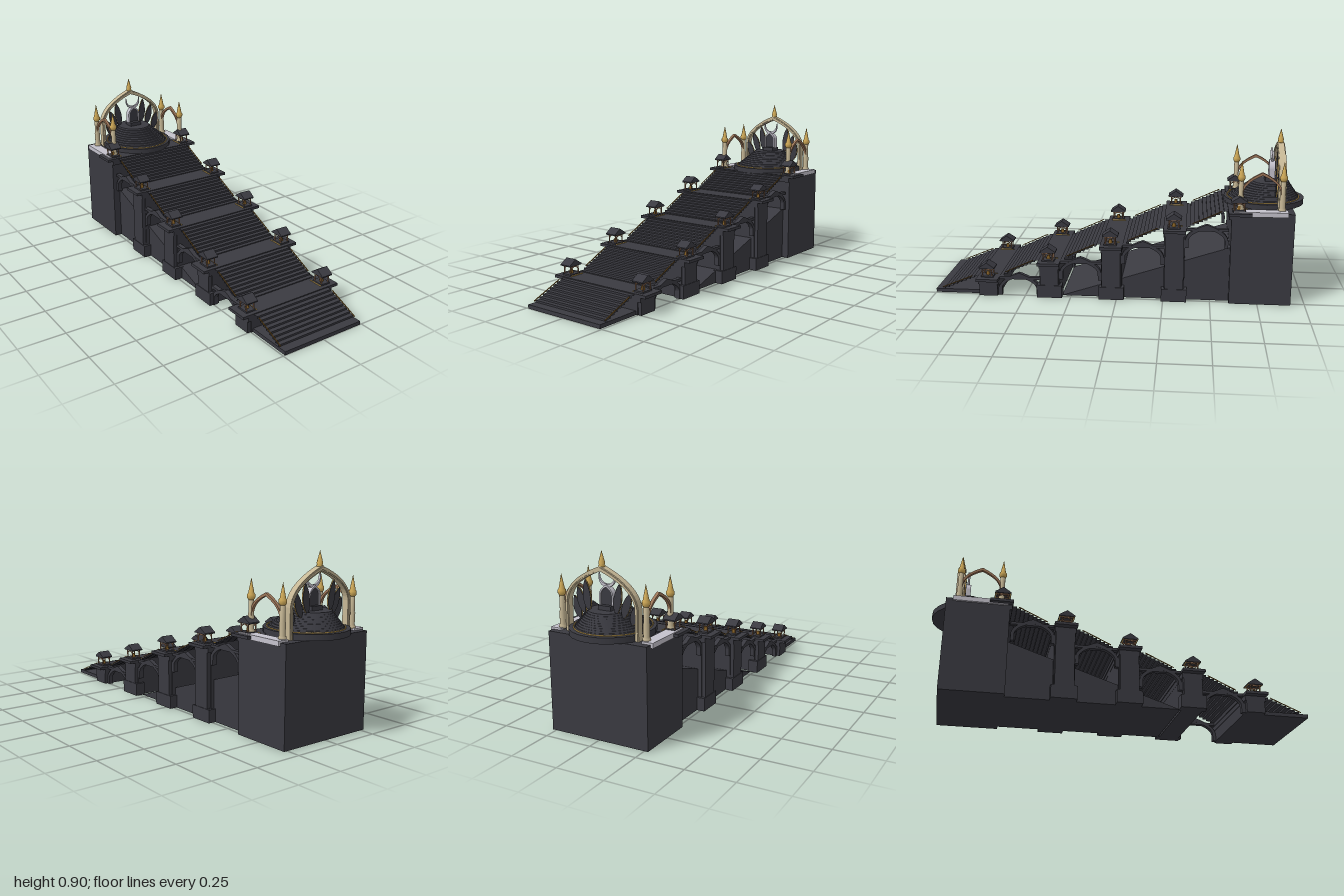
import * as THREE from 'three';

const mat = (name, color, side = THREE.FrontSide) => {
  const m = new THREE.MeshStandardMaterial({ color, side });
  m.name = name;
  return m;
};

export function createModel() {
  const root = new THREE.Group();
  root.name = 'terracedStairShrine';
  const stone = mat('charcoal stone', 0x3a3a41);
  const tread = mat('charcoal steps', 0x3a3a41, THREE.DoubleSide);
  const gold = mat('gold', 0xd0aa58);
  const ivory = mat('ivory', 0xc6b795);
  const copper = mat('copper', 0x9c7558);
  const bronze = mat('bronze', 0x8a6428);
  const silver = mat('silver', 0xc4c2cc);

  const add = (name, geo, m, x = 0, y = 0, z = 0, parent = root) => {
    const mesh = new THREE.Mesh(geo, m);
    mesh.name = name;
    mesh.position.set(x, y, z);
    parent.add(mesh);
    return mesh;
  };
  // Box given by its ranges
  const block = (name, m, x0, x1, y0, y1, z0, z1, parent = root) =>
    add(name, new THREE.BoxGeometry(x1 - x0, y1 - y0, z1 - z0), m,
      (x0 + x1) / 2, (y0 + y1) / 2, (z0 + z1) / 2, parent);
  const slab = (shape, depth) => {
    const g = new THREE.ExtrudeGeometry(shape, { depth, bevelEnabled: false, curveSegments: 10 });
    return g.translate(0, 0, -depth / 2);
  };
  // Pointed arch band standing on two legs
  const archGeo = (hw, foot, spring, peak, t, depth) => {
    const s = new THREE.Shape();
    const cy = spring + (peak - spring) * 0.58;
    const ip = peak - t * 1.3, iw = hw - t, icy = cy - t * 0.6;
    s.moveTo(-hw, foot);
    s.lineTo(-hw, spring);
    s.quadraticCurveTo(-hw * 0.95, cy, 0, peak);
    s.quadraticCurveTo(hw * 0.95, cy, hw, spring);
    s.lineTo(hw, foot);
    s.lineTo(iw, foot);
    s.lineTo(iw, spring);
    s.quadraticCurveTo(iw * 0.95, icy, 0, ip);
    s.quadraticCurveTo(-iw * 0.95, icy, -iw, spring);
    s.lineTo(-iw, foot);
    s.closePath();
    return slab(s, depth);
  };

  // Flight of open-sided steps with a thin rail on both edges
  const flight = (y0, z0, z1) => {
    const n = 10, rise = 0.1 / n, run = (z0 - z1) / n;
    const g = new THREE.PlaneGeometry(0.48, 1, 1, 2 * n);
    const p = g.attributes.position;
    for (let i = 0; i < p.count; i++) {
      const row = 2 * n - Math.floor(i / 2);
      p.setY(i, y0 + Math.ceil(row / 2) * rise);
      p.setZ(i, z0 - Math.floor(row / 2) * run);
    }
    const flat = g.toNonIndexed();
    flat.computeVertexNormals();
    add('stairFlight', flat, tread);
    const len = Math.hypot(0.1, z0 - z1);
    for (const s of [-1, 1]) {
      const rail = add('stairRail', new THREE.BoxGeometry(0.004, 0.004, len * 0.7), bronze,
        s * 0.237, y0 + 0.064, (z0 + z1) / 2);
      rail.rotation.x = Math.atan2(0.1, z0 - z1);
    }
  };

  // Small gabled lantern house
  const lantern = (x, y, z) => {
    const g = new THREE.Group();
    g.name = 'lanternHouse';
    g.position.set(x, y, z);
    root.add(g);
    block('lanternBase', stone, -0.028, 0.028, 0, 0.008, -0.034, 0.034, g);
    for (const i of [-1, 1]) {
      for (const j of [-1, 1])
        add('lanternPost', new THREE.CylinderGeometry(0.003, 0.003, 0.046, 6), copper, i * 0.023, 0.03, j * 0.026, g);
      block('lanternBeam', copper, i * 0.023 - 0.003, i * 0.023 + 0.003, 0.046, 0.052, -0.034, 0.034, g);
      block('eaveTrim', gold, -0.031, 0.031, 0.049, 0.052, i * 0.037 - 0.002, i * 0.037 + 0.002, g);
      const arch = add('lanternArch', archGeo(0.026, 0.008, 0.03, 0.048, 0.004, 0.004), copper, i * 0.023, 0, 0, g);
      arch.rotation.y = Math.PI / 2;
    }
    add('lanternLamp', new THREE.CylinderGeometry(0.008, 0.011, 0.02, 6), bronze, 0, 0.018, 0, g);
    const gable = new THREE.Shape([[-0.042, 0.05], [0.042, 0.05], [0.042, 0.056], [0, 0.084], [-0.042, 0.056]]
      .map(([a, b]) => new THREE.Vector2(a, b)));
    add('lanternRoof', slab(gable, 0.066), stone, 0, 0, 0, g).rotation.y = Math.PI / 2;
  };

  // Base slab, landings on piers, flights between them
  block('baseSlab', stone, -0.24, 0.24, 0, 0.02, 0.755, 1);
  flight(0, 1, 0.76);
  const pitch = 0.336;
  for (let k = 1; k <= 5; k++) {
    const y = 0.1 * k, zc = 0.7 - pitch * (k - 1);
    if (k < 5) {
      block('pier', stone, -0.25, 0.25, 0, y, zc - 0.055, zc + 0.055);
      for (const s of [-1, 1]) {
        block('buttress', stone, s * 0.245 - 0.025, s * 0.245 + 0.025, 0, y, zc - 0.05, zc + 0.05);
        if (k > 1) block('buttressFoot', stone, s * 0.245 - 0.028, s * 0.245 + 0.028, 0, 0.07, zc - 0.068, zc + 0.068);
        // Side arcade to the next pier
        const zb = zc - pitch / 2;
        const arch = add('sideArch', archGeo(0.113, y - 0.1, y - 0.06, y + 0.028, 0.018, 0.025), stone, s * 0.24, 0, zb);
        arch.rotation.y = Math.PI / 2;
        block('sideLintel', stone, s * 0.24 - 0.012, s * 0.24 + 0.012, y - 0.008, y + 0.006, zb - 0.115, zb + 0.115);
      }
      flight(y, zc - 0.06, zc - pitch + 0.06);
    }
    block('landingCornice', stone, -0.305, 0.305, y - 0.01, y + 0.005, zc - 0.06, zc + 0.06);
    block('landingMoulding', stone, -0.27, 0.27, y - 0.036, y - 0.01, zc - 0.056, zc + 0.056);
    for (const s of [-1, 1]) {
      lantern(s * 0.242, y + 0.005, zc + 0.005);
      block('landingTrim', gold, s * 0.208 - 0.002, s * 0.208 + 0.002, y + 0.004, y + 0.009, zc - 0.04, zc + 0.04);
    }
  }

  // Sloping foundation beneath the upper flights
  const wedge = new THREE.Shape([[-0.3, 0], [0.61, 0], [0.61, 0.303]].map(([a, b]) => new THREE.Vector2(a, b)));
  add('foundationWedge', slab(wedge, 0.46), stone).rotation.y = Math.PI / 2;

  // Sanctuary block
  block('sanctuaryBlock', stone, -0.27, 0.27, 0, 0.5, -0.925, -0.6);
  for (const s of [-1, 1])
    block('silverLedge', silver, s * 0.252 - 0.03, s * 0.252 + 0.03, 0.485, 0.51, -0.89, -0.61);

  // Tiered dais, drifting back as it rises
  const tier = (name, r0, r1, y0, y1, z, turn, m = stone) => {
    const mesh = add(name, new THREE.CylinderGeometry(r1, r0, y1 - y0, 24).rotateY(turn), m, 0, (y0 + y1) / 2, z);
    mesh.scale.x = 0.95;
  };
  tier('daisBase', 0.215, 0.215, 0.5, 0.53, -0.782, 0);
  const ring = add('daisTrim', new THREE.TorusGeometry(0.193, 0.003, 6, 48).rotateX(Math.PI / 2), gold, 0, 0.532, -0.778);
  ring.scale.x = 0.95;
  for (let i = 0; i < 9; i++) {
    const r = 0.188 - 0.0105 * i, y = 0.53 + 0.0095 * i;
    tier('daisTier', r, r - 0.004, y, y + 0.0095, -0.782 - 0.004 * i, i * 0.17);
  }

  // Fan of leaves with gold rims
  const leafGeo = (len, w, d) => {
    const s = new THREE.Shape();
    s.moveTo(0, 0);
    s.bezierCurveTo(w, len * 0.2, w * 0.9, len * 0.65, 0, len);
    s.bezierCurveTo(-w * 0.75, len * 0.75, -w * 0.8, len * 0.25, 0, 0);
    return slab(s, d);
  };
  const leaves = [[0.075, 0.605, 0.152, 0.13, -0.86], [0.106, 0.59, 0.132, 0.3, -0.85], [0.143, 0.558, 0.112, 0.3, -0.835]];
  for (const s of [-1, 1]) for (const [x, y, len, tilt, z] of leaves) {
    const g = new THREE.Group();
    g.name = 'leaf';
    g.position.set(s * x, y, z);
    g.rotation.z = -s * tilt;
    root.add(g);
    add('leafBlade', leafGeo(len, 0.032, 0.01), stone, 0, 0, 0, g);
    add('leafRim', leafGeo(len * 1.02, 0.0345, 0.004), gold, 0, -0.001, 0, g);
  }

  // Central niche and crescent
  block('nichePedestal', stone, -0.035, 0.035, 0.6, 0.637, -0.85, -0.785);
  add('nicheFrame', archGeo(0.038, 0.637, 0.685, 0.733, 0.008, 0.03), silver, 0, 0, -0.82);
  const panel = new THREE.Shape();
  panel.moveTo(-0.033, 0.637);
  panel.lineTo(0.033, 0.637);
  panel.lineTo(0.033, 0.685);
  panel.quadraticCurveTo(0.03, 0.71, 0, 0.728);
  panel.quadraticCurveTo(-0.03, 0.71, -0.033, 0.685);
  add('nichePanel', slab(panel, 0.016), stone, 0, 0, -0.82);
  const moon = new THREE.Shape();
  moon.moveTo(-0.043, 0.786);
  moon.bezierCurveTo(-0.066, 0.698, 0.066, 0.698, 0.043, 0.786);
  moon.bezierCurveTo(0.05, 0.718, -0.05, 0.718, -0.043, 0.786);
  add('crescent', slab(moon, 0.012), silver, 0, 0, -0.82);

  // Great arch with its spire
  add('greatArch', archGeo(0.201, 0.5, 0.65, 0.829, 0.019, 0.034), ivory, 0, 0, -0.86);
  add('greatArchRib', archGeo(0.196, 0.5, 0.65, 0.823, 0.009, 0.042), ivory, 0, 0, -0.86);
  const spire = [[0, 0], [0.013, 0], [0.017, 0.006], [0.013, 0.012], [0.016, 0.018], [0, 0.078]]
    .map(([a, b]) => new THREE.Vector2(a, b));
  add('archSpire', new THREE.LatheGeometry(spire, 12), gold, 0, 0.822, -0.86);

  // Corner columns joined by side arches
  const shaft = [[0, 0], [0.02, 0], [0.02, 0.012], [0.015, 0.02], [0.0165, 0.08], [0.0135, 0.085], [0.0135, 0.165], [0, 0.165]]
    .map(([a, b]) => new THREE.Vector2(a, b));
  const cap = [[0, 0], [0.014, 0], [0.02, 0.01], [0.02, 0.024], [0.015, 0.03], [0, 0.105]]
    .map(([a, b]) => new THREE.Vector2(a, b));
  for (const s of [-1, 1]) {
    for (const z of [-0.645, -0.86]) {
      add('cornerColumn', new THREE.LatheGeometry(shaft, 12), ivory, s * 0.232, 0.505, z);
      add('columnFinial', new THREE.LatheGeometry(cap, 12), gold, s * 0.232, 0.665, z);
    }
    const side = add('terraceArch', archGeo(0.108, 0.505, 0.6, 0.71, 0.012, 0.016), copper, s * 0.232, 0, -0.7525);
    side.rotation.y = Math.PI / 2;
  }
  return root;
}
